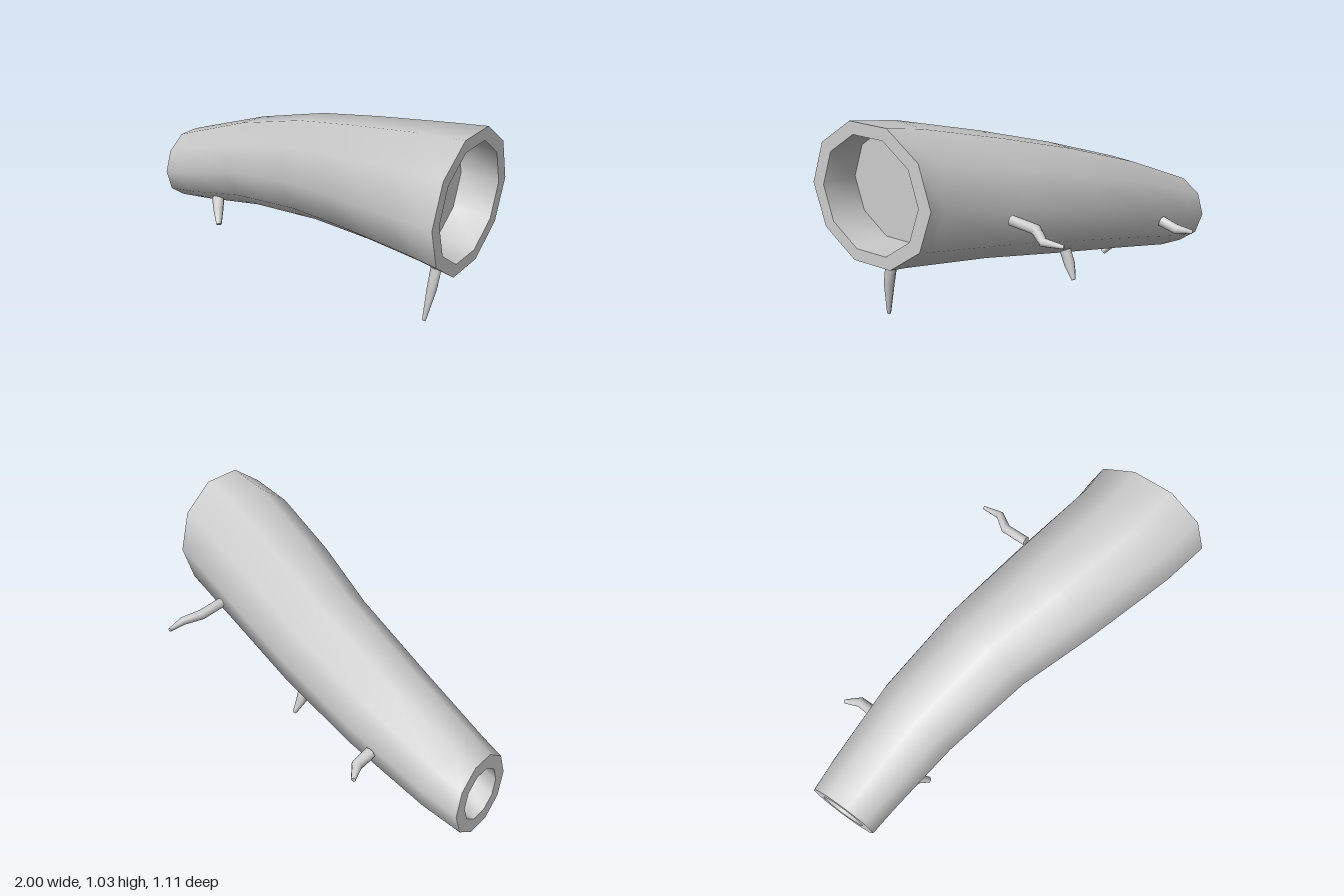
import * as THREE from 'three';
import { mergeGeometries } from 'three/addons/utils/BufferGeometryUtils.js';

const SIDES = 10;
const material = new THREE.MeshStandardMaterial({ color: 0xcccccc });

// Smooth skin through a list of rings, each an array of Vector3
function loft(rings) {
  const n = rings[0].length, positions = [], index = [];
  rings.forEach(ring => ring.forEach(p => positions.push(p.x, p.y, p.z)));
  for (let i = 0; i < rings.length - 1; i++) {
    for (let j = 0; j < n; j++) {
      const k = (j + 1) % n;
      const a = i * n + j, b = a + n, c = i * n + k, d = c + n;
      index.push(a, b, c, b, d, c);
    }
  }
  const geometry = new THREE.BufferGeometry();
  geometry.setAttribute('position', new THREE.Float32BufferAttribute(positions, 3));
  geometry.setIndex(index);
  geometry.computeVertexNormals();
  return geometry;
}

// Decagon around the log axis; tiltY and tiltZ lean it square to the bend
function logRing([x, y, z, ry, rz, tiltY = 0, tiltZ = 0]) {
  return Array.from({ length: SIDES }, (_, j) => {
    const a = j / SIDES * Math.PI * 2 + 0.03;
    const dy = ry * Math.sin(a), dz = rz * Math.cos(a);
    return new THREE.Vector3(x - tiltY * dy - tiltZ * dz, y + dy, z + dz);
  });
}

function addMesh(group, name, geometry) {
  const mesh = new THREE.Mesh(geometry, material);
  mesh.name = name;
  group.add(mesh);
}

// Bent, tapering twig with closed ends; nodes are [x, y, z, radius]
function twigGeometry(nodes) {
  const points = nodes.map(n => new THREE.Vector3(n[0], n[1], n[2]));
  const last = points.length - 1;
  const rings = points.map((p, i) => {
    const t = points[Math.min(i + 1, last)].clone().sub(points[Math.max(i - 1, 0)]).normalize();
    const u = new THREE.Vector3(1, 0, 0).addScaledVector(t, -t.x).normalize();
    const v = u.clone().cross(t);
    return Array.from({ length: 8 }, (_, j) => {
      const a = j / 8 * Math.PI * 2;
      return p.clone()
        .addScaledVector(u, nodes[i][3] * Math.cos(a))
        .addScaledVector(v, nodes[i][3] * Math.sin(a));
    });
  });
  const pole = i => rings[i].map(() => points[i].clone());
  return mergeGeometries([
    loft([pole(0), rings[0]]),
    loft(rings),
    loft([rings[last], pole(last)]),
  ]);
}

export function createModel() {
  const model = new THREE.Group();
  model.name = 'hollowLog';

  // Bark: x, y, z, radius in y, radius in z, tilts
  const bark = [
    [-1, 0.198, -0.212, 0.196, 0.19],
    [-0.835, 0.242, -0.202, 0.2, 0.203, 0.27, 0.06],
    [-0.425, 0.38, -0.155, 0.234, 0.231, 0.23, 0.2],
    [0.03, 0.508, -0.058, 0.264, 0.258, 0.22, 0.21],
    [0.43, 0.608, 0.072, 0.282, 0.286, 0.25, 0.26],
    [0.842, 0.695, 0.2, 0.31, 0.306, 0.2, 0.24],
    [1, 0.718, 0.232, 0.326, 0.328],
  ].map(logRing);
  addMesh(model, 'bark', loft(bark));

  // Cut ends: rim, recess wall and recess floor
  const ends = [
    { name: 'right', outer: bark[0], hole: [-1, 0.198, -0.212, 0.127, 0.125],
      floor: [-0.82, 0.235, -0.203, 0.13, 0.13] },
    { name: 'left', outer: bark[6], hole: [1, 0.718, 0.235, 0.267, 0.265],
      floor: [0.82, 0.716, 0.23, 0.26, 0.256] },
  ];
  for (const { name, outer, hole, floor } of ends) {
    const mouth = logRing(hole), base = logRing(floor);
    const centre = logRing([floor[0], floor[1], floor[2], 0, 0]);
    const chain = [outer, mouth, base, centre];
    if (name === 'right') chain.reverse();
    const strips = [0, 1, 2].map(i => loft([chain[i], chain[i + 1]]));
    addMesh(model, name + 'HollowEnd', mergeGeometries(strips));
  }

  // Twigs along the underside and back
  const twigs = {
    leftLowerTwig: [[0.87, 0.37, 0.25, 0.026], [0.866, 0.27, 0.272, 0.024], [0.85, 0.115, 0.297, 0.009]],
    rightLowerTwig: [[-0.67, 0.117, -0.077, 0.035], [-0.635, 0.068, -0.035, 0.028], [-0.595, 0.01, 0.01, 0.015]],
    middleLowerTwig: [[0.08, 0.272, -0.16, 0.028], [0.08, 0.2, -0.187, 0.027], [0.098, 0.132, -0.222, 0.01]],
    leftBackTwig: [[0.6, 0.58, -0.21, 0.025], [0.607, 0.565, -0.34, 0.025], [0.665, 0.54, -0.415, 0.021],
      [0.656, 0.535, -0.512, 0.009]],
    rightBackTwig: [[-0.515, 0.287, -0.385, 0.029], [-0.507, 0.263, -0.47, 0.027], [-0.548, 0.248, -0.545, 0.011]],
  };
  for (const [name, nodes] of Object.entries(twigs)) addMesh(model, name, twigGeometry(nodes));

  return model;
}
